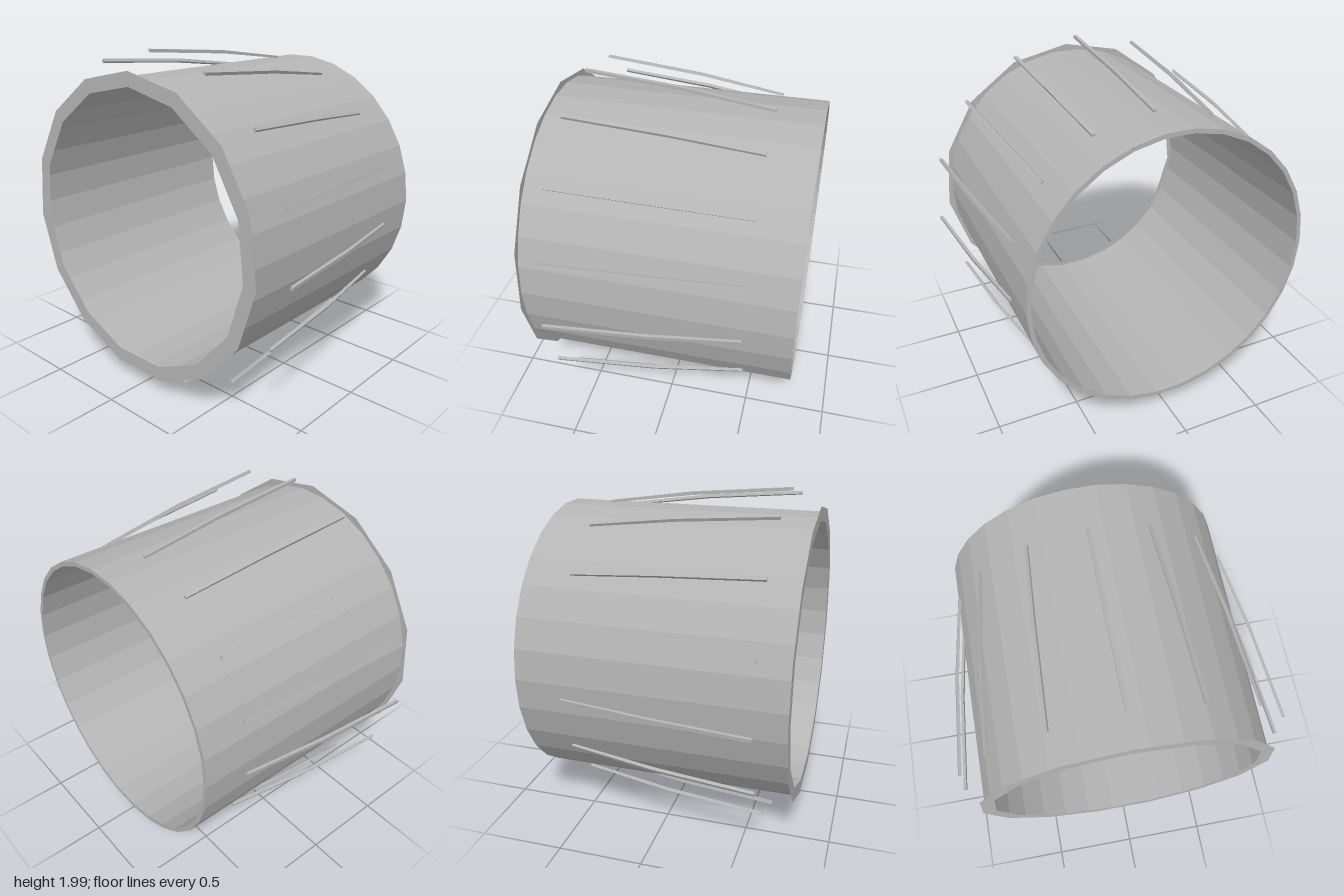
import * as THREE from 'three';

const CENTER_Y = 0.985;
const HALF_LENGTH = 0.775;
const FIN_COUNT = 15;

// Points of a regular polygon, starting at angle "start"
function polygon(radius, sides, start) {
  return Array.from({ length: sides }, (_, i) => {
    const a = start + (i / sides) * Math.PI * 2;
    return new THREE.Vector2(Math.cos(a) * radius, Math.sin(a) * radius);
  });
}

// Polygonal ring shape with a matching hole
function ringShape(outer, inner, sides, start) {
  const shape = new THREE.Shape(polygon(outer, sides, start));
  shape.holes.push(new THREE.Path(polygon(inner, sides, start).reverse()));
  return shape;
}

// Bent bar lofted through rectangular sections: [z, inner radius, outer radius, half width]
function finGeometry() {
  const sections = [
    [-0.5, 0.862, 0.877, 0.01],
    [0.02, 0.933, 0.952, 0.0125],
    [0.61, 0.985, 1.003, 0.01],
  ];
  const positions = [];
  for (const [z, r0, r1, w] of sections) {
    positions.push(-w, r0, z, w, r0, z, w, r1, z, -w, r1, z);
  }
  const index = [0, 2, 1, 0, 3, 2]; // back cap
  for (let s = 0; s < sections.length - 1; s++) {
    for (let k = 0; k < 4; k++) {
      const a = s * 4 + k, b = s * 4 + ((k + 1) % 4);
      index.push(a, b, b + 4, a, b + 4, a + 4);
    }
  }
  const e = (sections.length - 1) * 4;
  index.push(e, e + 1, e + 2, e, e + 2, e + 3); // front cap
  const geometry = new THREE.BufferGeometry();
  geometry.setAttribute('position', new THREE.Float32BufferAttribute(positions, 3));
  geometry.setIndex(index);
  const flat = geometry.toNonIndexed();
  flat.computeVertexNormals();
  return flat;
}

export function createModel() {
  const group = new THREE.Group();
  group.name = 'finnedSleeve';
  const grey = new THREE.MeshStandardMaterial({
    name: 'grey', color: 0xb4b4b4, flatShading: true, side: THREE.DoubleSide,
  });

  // Thin-walled open barrel, 30 sides
  const barrelGeometry = new THREE.ExtrudeGeometry(ringShape(0.862, 0.836, 30, 0), {
    depth: HALF_LENGTH * 2, bevelEnabled: false,
  });
  const barrel = new THREE.Mesh(barrelGeometry, grey);
  barrel.name = 'barrel';
  barrel.position.set(0, CENTER_Y, -HALF_LENGTH);
  group.add(barrel);

  // Flat 15-sided ring on the front end
  const frontRing = new THREE.Mesh(
    new THREE.ShapeGeometry(ringShape(0.902, 0.817, FIN_COUNT, Math.PI / 2)), grey);
  frontRing.name = 'frontRing';
  frontRing.position.set(0, CENTER_Y, HALF_LENGTH + 0.001);
  group.add(frontRing);

  // Bent fins flaring outwards towards the front
  const fins = new THREE.Group();
  fins.name = 'fins';
  fins.position.y = CENTER_Y;
  const geometry = finGeometry();
  for (let i = 0; i < FIN_COUNT; i++) {
    const fin = new THREE.Mesh(geometry, grey);
    fin.name = `fin${i + 1}`;
    fin.rotation.z = (i / FIN_COUNT) * Math.PI * 2;
    fins.add(fin);
  }
  group.add(fins);
  return group;
}
